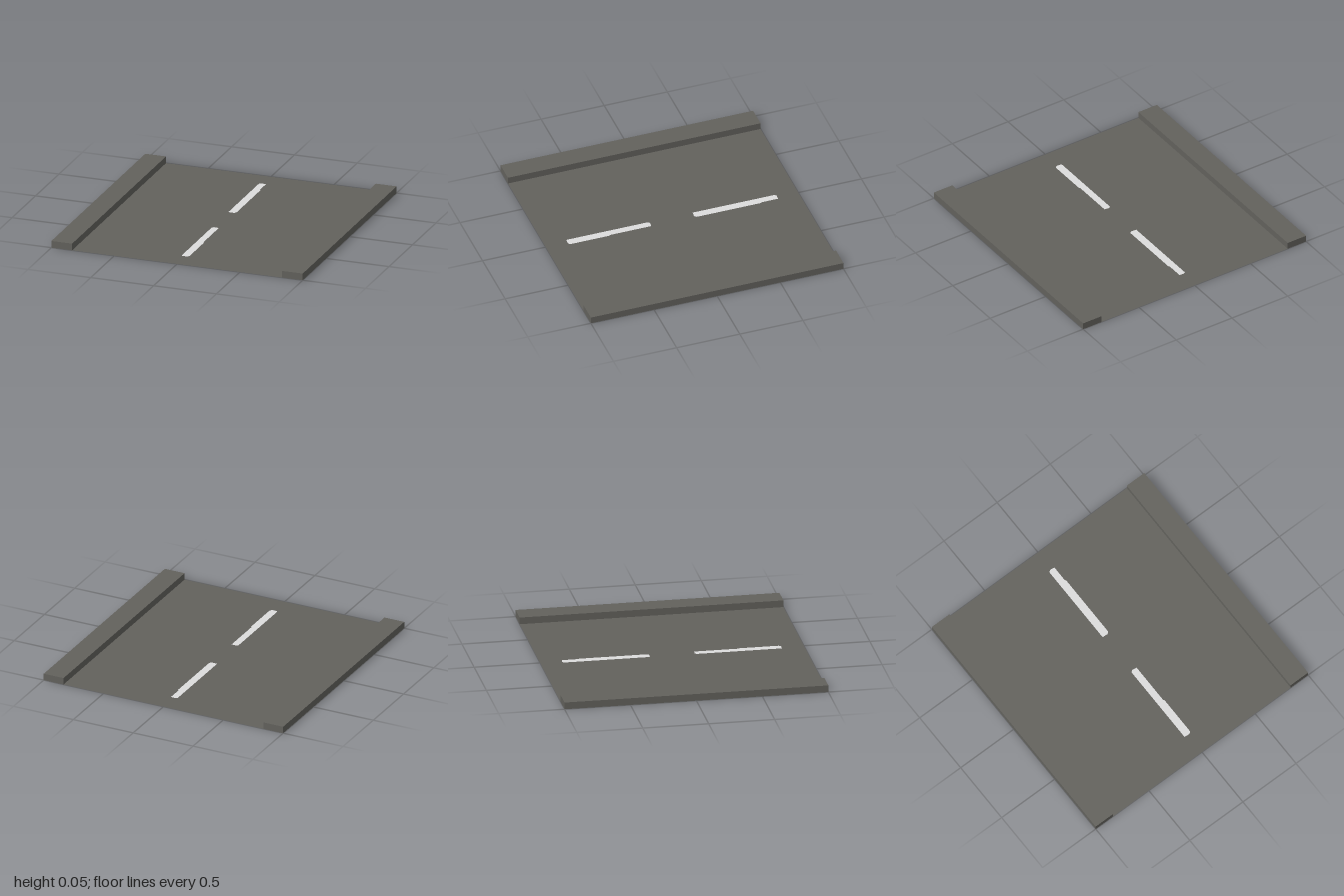
import * as THREE from 'three';

const HALF = 1;            // half the tile length
const CURB_INNER = 0.835;  // inner edge of each curb
const CURB_HEIGHT = 0.053;

// Box with its underside left out
function openBottomBox(width, height, depth) {
  const geometry = new THREE.BoxGeometry(width, height, depth);
  const index = Array.from(geometry.index.array);
  index.splice(18, 6);
  geometry.setIndex(index);
  geometry.clearGroups();
  return geometry;
}

// Worn lane dash with clipped corners, flat on the road; step = z where it widens
function dashGeometry(zStart, zEnd, step) {
  const outline = [
    [-0.03, zStart + 0.012], [-0.015, zStart], [0.023, zStart + 0.004],
    [0.023, step], [0.03, step], [0.03, zEnd - 0.015], [0.015, zEnd], [-0.03, zEnd - 0.003],
  ];
  const shape = new THREE.Shape(outline.map(([x, z]) => new THREE.Vector2(x, -z)));
  return new THREE.ShapeGeometry(shape).rotateX(-Math.PI / 2);
}

export function createModel() {
  const asphalt = new THREE.MeshStandardMaterial({ color: 0x62615c, side: THREE.DoubleSide });
  asphalt.name = 'asphalt grey';
  const paint = new THREE.MeshStandardMaterial({ color: 0xdcdcdc });
  paint.name = 'lane paint white';

  const group = new THREE.Group();
  group.name = 'roadTile';
  const add = (name, geometry, material, x = 0, y = 0, z = 0) => {
    const mesh = new THREE.Mesh(geometry, material);
    mesh.name = name;
    mesh.position.set(x, y, z);
    group.add(mesh);
  };

  // Thin road sheet between the curbs
  add('roadSurface', new THREE.PlaneGeometry(2 * CURB_INNER, 2 * HALF).rotateX(-Math.PI / 2), asphalt);

  // Raised hollow curbs along both sides
  const curb = openBottomBox(HALF - CURB_INNER, CURB_HEIGHT, 2 * HALF);
  for (const side of [-1, 1]) {
    add(side > 0 ? 'leftCurb' : 'rightCurb', curb, asphalt, side * (HALF + CURB_INNER) / 2, CURB_HEIGHT / 2);
  }

  // Centre line dashes
  add('backDash', dashGeometry(-0.835, -0.17, -0.7), paint, 0, 0.002);
  add('frontDash', dashGeometry(0.168, 0.83, 0.5), paint, 0, 0.002);

  return group;
}
